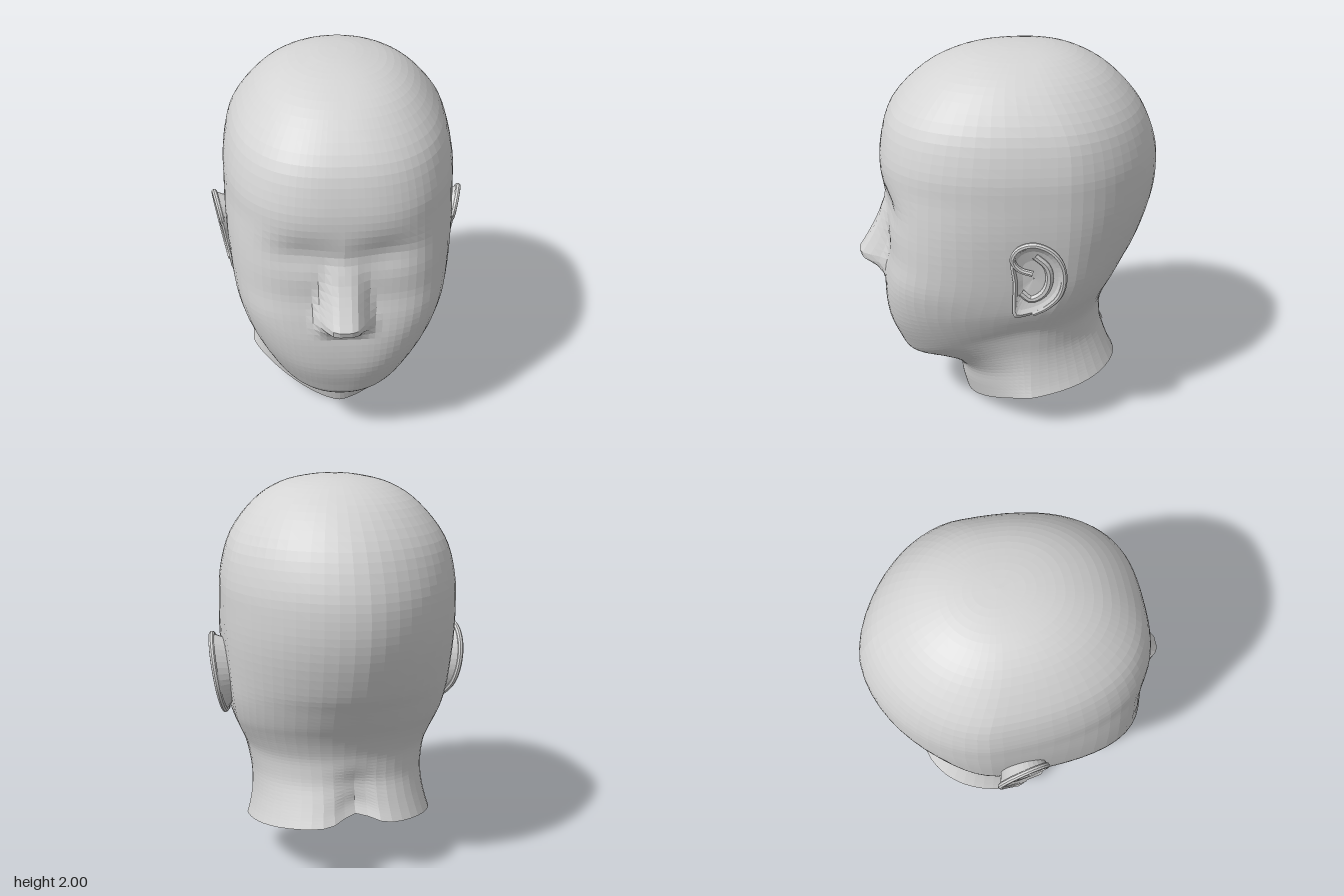
import * as THREE from 'three';

const { clamp, mapLinear, smoothstep } = THREE.MathUtils;

const skin = new THREE.MeshStandardMaterial({ color: 0xd4d4d4, flatShading: true, side: THREE.DoubleSide });
skin.name = 'plain grey';

// Head cross-sections, crown to neck edge:
// front y, side y, back y, front z, back z, half width, squareness of the front
const SECTIONS = [
  [2.0, 2.0, 2.0, -0.08, -0.08, 0, 2.2],
  [1.99, 1.99, 1.99, 0.09, -0.24, 0.13, 2.2],
  [1.95, 1.95, 1.95, 0.26, -0.385, 0.28, 2.3],
  [1.86, 1.86, 1.86, 0.43, -0.535, 0.41, 2.4],
  [1.7, 1.7, 1.7, 0.58, -0.68, 0.53, 2.6],
  [1.52, 1.52, 1.52, 0.64, -0.76, 0.582, 2.7],
  [1.36, 1.36, 1.36, 0.65, -0.78, 0.59, 2.8],
  [1.2, 1.2, 1.2, 0.635, -0.76, 0.588, 3.2],
  [1.02, 1.02, 1.02, 0.62, -0.7, 0.574, 3.7],
  [0.88, 0.89, 0.92, 0.64, -0.645, 0.56, 3.7],
  [0.74, 0.79, 0.83, 0.655, -0.595, 0.542, 3.2],
  [0.58, 0.73, 0.77, 0.645, -0.56, 0.522, 2.7],
  [0.44, 0.68, 0.71, 0.6, -0.533, 0.5, 2.4],
  [0.345, 0.62, 0.64, 0.55, -0.513, 0.475, 2.2],
  [0.31, 0.54, 0.57, 0.43, -0.512, 0.459, 2.1],
  [0.28, 0.46, 0.5, 0.335, -0.52, 0.45, 2],
  [0.21, 0.37, 0.42, 0.265, -0.55, 0.453, 1.8],
  [0.1, 0.28, 0.36, 0.245, -0.575, 0.468, 1.6],
  [0, 0.22, 0.31, 0.22, -0.6, 0.485, 1.5],
];

// Nose projection by height, bottom to top
const NOSE = [[0.78, 0], [0.81, 0.02], [0.84, 0.06], [0.88, 0.13], [0.91, 0.148], [1.0, 0.107], [1.1, 0.05], [1.22, 0]];

// Ear outline as [z, y], the path of its rolled rim, and its inner fold
const EAR = [[0.02, 0.77], [0.03, 0.87], [0.03, 0.98], [0.045, 1.1], [0.015, 1.18], [-0.06, 1.215],
  [-0.145, 1.185], [-0.2, 1.1], [-0.218, 1.0], [-0.195, 0.91], [-0.135, 0.835], [-0.05, 0.785]];
const RIM = [[-0.06, 1.04], [0.0, 1.06], [0.035, 1.11], [0.01, 1.175], [-0.06, 1.205],
  [-0.14, 1.175], [-0.195, 1.1], [-0.21, 1.0], [-0.188, 0.91], [-0.13, 0.84], [-0.07, 0.8]];
const FOLD = [[-0.07, 1.14], [-0.13, 1.08], [-0.145, 1.0], [-0.12, 0.92], [-0.06, 0.88], [-0.01, 0.92]];

// Joins closed rings of points into a skin
function loft(rings) {
  const n = rings[0].length, index = [];
  for (let i = 0; i < rings.length - 1; i++) {
    for (let j = 0; j < n; j++) {
      const a = i * n + j, b = i * n + (j + 1) % n;
      index.push(a, a + n, b + n, a, b + n, b);
    }
  }
  const geometry = new THREE.BufferGeometry().setFromPoints(rings.flat());
  geometry.setIndex(index);
  geometry.computeVertexNormals();
  return geometry;
}

// Smooth blend through four values
function spline(a, b, c, d, t) {
  return b + 0.5 * t * (c - a + t * (2 * a - 5 * b + 4 * c - d + t * (3 * (b - c) + d - a)));
}

function noseHeight(y) {
  for (let i = 0; i < NOSE.length - 1; i++) {
    const [y0, h0] = NOSE[i], [y1, h1] = NOSE[i + 1];
    if (y >= y0 && y <= y1) return mapLinear(y, y0, y1, h0, h1);
  }
  return 0;
}

// Moves the face forward for the nose and back for the eye sockets
function faceRelief(x, y) {
  const ax = Math.abs(x);
  const spread = mapLinear(clamp(y, 0.82, 1.2), 0.82, 1.2, 0.185, 0.11);
  const nose = noseHeight(y) * (1 - smoothstep(ax, 0.035, spread));
  const socket = 0.035 * Math.exp(-(((ax - 0.2) / 0.16) ** 2) - ((y - 1.25) / 0.1) ** 2);
  return nose - socket;
}

function headRing([yf, ys, yb, zf, zb, w, n]) {
  const ring = [], count = 72;
  // The skull is widest further back than the crown and neck, and tapers behind
  const skull = smoothstep(ys, 0.6, 0.95) * (1 - smoothstep(ys, 1.6, 2));
  const midZ = -0.09 - 0.11 * skull;
  const nape = 1 - smoothstep(ys, 0.24, 0.62);
  for (let j = 0; j < count; j++) {
    const t = (j / count) * Math.PI * 2;
    const angle = t - 0.4 * Math.sin(t); // columns are closer together on the face
    const c = Math.cos(angle), s = Math.sin(angle), front = c > 0;
    const p = front ? n : 2.05 - 0.28 * skull + 0.35 * nape;
    const r = (Math.abs(c) ** p + Math.abs(s) ** p) ** (-1 / p);
    const reach = Math.abs(r * c);
    const x = w * r * s;
    let y = front ? ys + (yf - ys) * reach ** 1.6 : ys + (yb - ys) * reach;
    let z = midZ + reach * (front ? zf - midZ : zb - midZ);
    if (front && z > 0.3) z += faceRelief(x, y);
    if (!front) { // hollow down the middle of the nape
      const groove = nape * Math.exp(-((x / 0.1) ** 2));
      z += 0.08 * groove;
      y += 0.04 * groove;
    }
    ring.push(new THREE.Vector3(x, y, z));
  }
  return ring;
}

function makeHead() {
  const rings = [], steps = 4, last = SECTIONS.length - 1;
  for (let i = 0; i < last; i++) {
    const [a, b, c, d] = [i - 1, i, i + 1, i + 2].map(k => SECTIONS[clamp(k, 0, last)]);
    for (let k = 0; k < steps; k++) {
      rings.push(headRing(b.map((_, m) => spline(a[m], b[m], c[m], d[m], k / steps))));
    }
  }
  rings.push(headRing(SECTIONS[last]));
  return loft(rings);
}

// The ear leans outward towards its top and back
const earX = (z, y) => 0.557 + 0.053 * (0.04 - z) / 0.26 + 0.065 * (y - 0.78) / 0.44;

function makeEar(side) {
  const ear = new THREE.Group();
  ear.name = side > 0 ? 'leftEar' : 'rightEar';
  const add = (geometry, name) => {
    const mesh = new THREE.Mesh(geometry, skin);
    mesh.name = name;
    ear.add(mesh);
  };
  const path = (points, lift, closed) => new THREE.CatmullRomCurve3(
    points.map(([z, y]) => new THREE.Vector3(side * (earX(z, y) + lift), y, z)), closed);

  // Shell: from the head out to the rim, then into the hollow above the full lobe
  const outline = path(EAR, 0, true).getPoints(36).slice(0, -1);
  const ring = (scale, lift, root) => outline.map(p => {
    const z = -0.07 + (p.z + 0.07) * scale, y = 1.0 + (p.y - 1.0) * scale;
    const depth = lift < 0 && scale < 0.9 ? lift * smoothstep(y, 0.8, 0.95) : lift;
    return new THREE.Vector3(side * (root ?? earX(z, y) + depth), y, z);
  });
  const rings = [ring(0.8, 0, 0.55), ring(0.94, -0.015), ring(1, 0), ring(0.9, 0.01),
    ring(0.78, -0.006), ring(0.5, -0.018), ring(0.01, -0.022)];
  add(loft(side > 0 ? rings.reverse() : rings), 'earShell');

  add(new THREE.TubeGeometry(path(RIM, 0.001, false), 40, 0.015, 8), 'earRim');
  add(new THREE.TubeGeometry(path(FOLD, -0.018, false), 20, 0.021, 8), 'earFold');
  return ear;
}

export function createModel() {
  const model = new THREE.Group();
  model.name = 'mannequinHead';
  const head = new THREE.Mesh(makeHead(), skin);
  head.name = 'headAndNeck';
  model.add(head, makeEar(1), makeEar(-1));
  return model;
}
